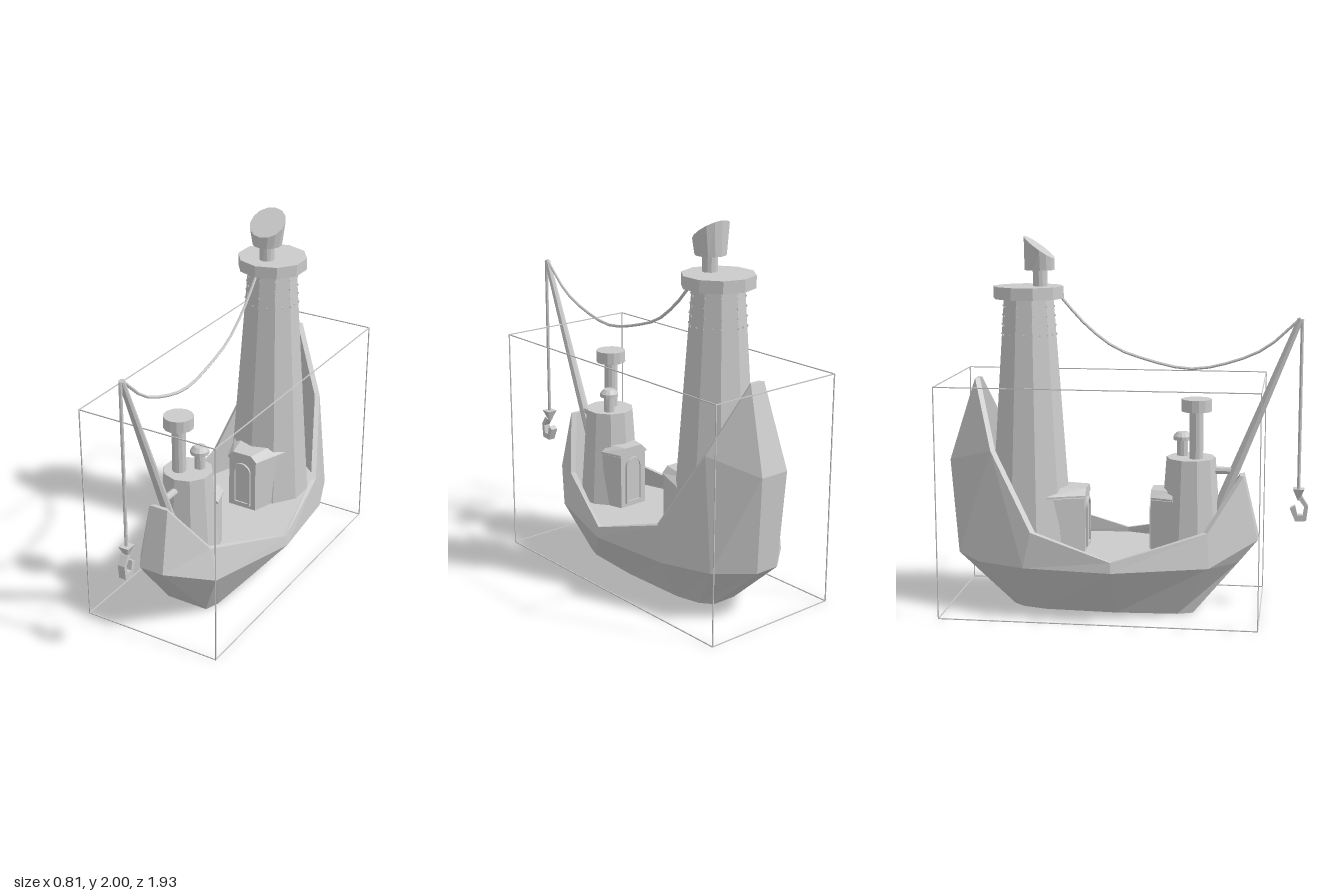
import * as THREE from 'three';
import { mergeGeometries } from 'three/addons/utils/BufferGeometryUtils.js';

const material = new THREE.MeshStandardMaterial({ color: 0xcccccc, flatShading: true });
const openMaterial = material.clone();
openMaterial.side = THREE.DoubleSide;

function add(parent, name, geometry, x = 0, y = 0, z = 0, mat = material) {
  const mesh = new THREE.Mesh(geometry, mat);
  mesh.name = name;
  mesh.position.set(x, y, z);
  parent.add(mesh);
  return mesh;
}

// Upright cylinder standing between two heights
function column(parent, name, rTop, rBottom, y0, y1, x, z, sides = 10) {
  const g = new THREE.CylinderGeometry(rTop, rBottom, y1 - y0, sides);
  return add(parent, name, g, x, (y0 + y1) / 2, z);
}

// Rod between two points
function rod(parent, name, from, to, r0, r1) {
  const a = new THREE.Vector3(...from), b = new THREE.Vector3(...to);
  const d = b.clone().sub(a);
  const mesh = add(parent, name, new THREE.CylinderGeometry(r1, r0, d.length(), 8));
  mesh.position.copy(a).add(b).multiplyScalar(0.5);
  mesh.quaternion.setFromUnitVectors(new THREE.Vector3(0, 1, 0), d.normalize());
  return mesh;
}

const DECK = 0.31;

// Hull with bulwark and deck, as a closed ring of stations
function hullGeometry() {
  // Each station, bow to stern: bottom, chine, knuckle, gunwale
  const half = [
    [[0.12, 0, 0.37], [0.085, 0.28, 0.61], [0.07, 0.4, 0.71], [0.055, 0.74, 0.63]],
    [[0.15, 0, 0.29], [0.24, 0.28, 0.46], [0.24, 0.28, 0.46], [0.2, 0.46, 0.45]],
    [[0.17, 0, -0.04], [0.395, 0.28, -0.04], [0.395, 0.28, -0.04], [0.385, 0.335, -0.04]],
    [[0.155, 0, -0.42], [0.35, 0.28, -0.51], [0.35, 0.28, -0.51], [0.34, 0.47, -0.47]],
    [[0.12, 0, -0.55], [0.25, 0.28, -0.77], [0.23, 0.88, -0.7], [0.23, 0.88, -0.7]],
    [[0.07, 0, -0.61], [0.07, 0.28, -0.92], [0.085, 0.8, -0.955], [0.045, 1.24, -0.82]],
  ].map((s) => {
    const c = s[1], g = s[3];
    const rim = [g[0] - 0.02, g[1], g[2] - 0.022 * Math.sign(g[2] + 0.04)];
    const deckEdge = [c[0] * 0.93, DECK, (c[2] + 0.04) * 0.92 - 0.04];
    return [[0, 0, -0.1], ...s, rim, deckEdge, [0, DECK, -0.1]];
  });
  const mirrored = half.map((s) => s.map(([x, y, z]) => [-x, y, z])).reverse();
  const ring = [...half, ...mirrored];
  const pos = [];
  ring.forEach((s, i) => {
    const t = ring[(i + 1) % ring.length];
    for (let j = 0; j < s.length - 1; j++) {
      pos.push(...s[j], ...t[j], ...t[j + 1], ...s[j], ...t[j + 1], ...s[j + 1]);
    }
  });
  const g = new THREE.BufferGeometry();
  g.setAttribute('position', new THREE.Float32BufferAttribute(pos, 3));
  g.computeVertexNormals();
  return g;
}

// Entrance house with chamfered roof and arched door, facing +z
function entrance(name, depth, spread) {
  const house = new THREE.Group();
  house.name = name;
  const flare = (g) => {
    const p = g.attributes.position;
    for (let i = 0; i < p.count; i++) {
      p.setX(i, p.getX(i) * (1 + spread * Math.max(0, -p.getZ(i)) / depth));
    }
    g.computeVertexNormals();
    return g;
  };
  const block = (w, y0, y1, chamfer, d) => {
    const s = new THREE.Shape([[-w, y0], [w, y0], [w, y1 - chamfer], [w - chamfer, y1],
      [chamfer - w, y1], [-w, y1 - chamfer]].map(([x, y]) => new THREE.Vector2(x, y)));
    const g = new THREE.ExtrudeGeometry(s, { depth: d, bevelEnabled: false });
    g.translate(0, 0, -d);
    return flare(g);
  };
  add(house, 'walls', block(0.085, 0, 0.325, 0.03, depth));
  add(house, 'roof', block(0.092, 0.3, 0.345, 0.035, depth), 0, 0, 0.004);
  // Arched door frame and recessed panel
  const arch = (C, w, h, y0) => {
    const s = new C();
    s.moveTo(-w, y0);
    s.lineTo(w, y0);
    s.lineTo(w, h - w);
    s.absarc(0, h - w, w, 0, Math.PI, false);
    s.lineTo(-w, y0);
    return s;
  };
  const frame = arch(THREE.Shape, 0.055, 0.285, 0.02);
  frame.holes.push(arch(THREE.Path, 0.042, 0.272, 0.035));
  add(house, 'doorFrame', new THREE.ExtrudeGeometry(frame, { depth: 0.012, bevelEnabled: false, curveSegments: 6 }));
  add(house, 'doorPanel', new THREE.ShapeGeometry(arch(THREE.Shape, 0.042, 0.272, 0.035), 6), 0, 0, 0.003);
  return house;
}

export function createModel() {
  const ship = new THREE.Group();
  ship.name = 'ship';
  add(ship, 'hull', hullGeometry(), 0, 0, 0, openMaterial);

  // Tall stern tower
  const TZ = -0.53;
  column(ship, 'sternTower', 0.135, 0.232, DECK - 0.01, 1.67, 0, TZ);
  column(ship, 'towerPlatform', 0.19, 0.19, 1.67, 1.735, 0, TZ);
  column(ship, 'funnelNeck', 0.04, 0.04, 1.735, 1.84, 0, -0.466, 12);

  // Funnel head with a slanted top
  const head = new THREE.CylinderGeometry(0.1, 0.08, 0.1, 14);
  const p = head.attributes.position;
  for (let i = 0; i < p.count; i++) {
    if (p.getY(i) < 0) continue;
    const z = p.getZ(i) * 0.82;
    p.setZ(i, z);
    p.setY(i, 0.07 - z * 0.73);
  }
  head.computeVertexNormals();
  add(ship, 'funnelHead', head, 0, 1.87, -0.47);

  // Rivets along the upper tower: upright rows on the corners, one band around
  const rivets = [];
  const rivet = (angle, y, inset) => {
    const r = (0.135 + (1.67 - y) * 0.0708) * inset;
    const g = new THREE.BoxGeometry(0.008, 0.008, 0.008);
    g.rotateY(angle);
    g.translate(Math.sin(angle) * r, y, Math.cos(angle) * r);
    rivets.push(g);
  };
  for (let i = 0; i < 10; i++) {
    const a = (i * Math.PI) / 5;
    for (const y of [1.48, 1.53, 1.58, 1.63]) rivet(a, y, 1);
    rivet(a + Math.PI / 10, 1.48, Math.cos(Math.PI / 10));
  }
  add(ship, 'rivets', mergeGeometries(rivets), 0, 0, TZ);

  // Bow cabin with its two chimneys
  column(ship, 'bowCabin', 0.132, 0.17, DECK - 0.01, 0.83, 0, 0.345);
  column(ship, 'chimney', 0.037, 0.037, 0.82, 1.09, -0.035, 0.375, 12);
  column(ship, 'chimneyCap', 0.08, 0.08, 1.085, 1.15, -0.035, 0.375, 14);
  column(ship, 'vent', 0.03, 0.03, 0.82, 0.92, 0.042, 0.295, 10);
  column(ship, 'ventCapRim', 0.05, 0.05, 0.915, 0.935, 0.042, 0.295, 12);
  column(ship, 'ventCapTop', 0.03, 0.05, 0.935, 0.957, 0.042, 0.295, 12);

  // Facing entrances
  const sternHouse = entrance('sternEntrance', 0.2, 0.8);
  sternHouse.position.set(0, DECK, -0.22);
  const bowHouse = entrance('bowEntrance', 0.12, 0.4);
  bowHouse.position.set(0, DECK, 0.14);
  bowHouse.rotation.y = Math.PI;
  ship.add(sternHouse, bowHouse);

  // Crane boom, strut, sagging cable and hanging line
  rod(ship, 'boom', [0, 0.53, 0.485], [0, 1.575, 0.91], 0.03, 0.016);
  rod(ship, 'boomStrut', [0, 0.76, 0.42], [0, 0.76, 0.58], 0.02, 0.02);
  const sag = [[0.91, 1.58], [0.73, 1.42], [0.52, 1.335], [0.33, 1.305], [0.09, 1.355],
    [-0.07, 1.415], [-0.23, 1.54], [-0.36, 1.685]].map(([z, y]) => new THREE.Vector3(0, y, z));
  add(ship, 'cable', new THREE.TubeGeometry(new THREE.CatmullRomCurve3(sag), 16, 0.008, 6));
  rod(ship, 'hangingLine', [0, 0.66, 0.92], [0, 1.575, 0.92], 0.009, 0.009);

  // Hook block and flat hook
  const block = new THREE.CylinderGeometry(0.042, 0.006, 0.065, 4);
  block.rotateY(Math.PI / 4);
  add(ship, 'hookBlock', block, 0, 0.64, 0.92);
  const outline = [[0.015, 0.03], [0.047, -0.02], [0.038, -0.1], [-0.02, -0.105], [-0.05, -0.035],
    [-0.022, -0.02], [-0.01, -0.07], [0.02, -0.07], [0.027, -0.025], [-0.006, 0.02]];
  const hook = new THREE.ExtrudeGeometry(new THREE.Shape(outline.map(([z, y]) => new THREE.Vector2(-z, y))),
    { depth: 0.04, bevelEnabled: false });
  hook.translate(0, 0, -0.02);
  hook.rotateY(Math.PI / 2);
  add(ship, 'hook', hook, 0, 0.6, 0.925);

  // Thin box frame around the hull
  const [X, H, Z0, Z1, T] = [0.4, 1.24, -0.957, 0.727, 0.005];
  const bars = [];
  const bar = (w, h, d, x, y, z) => bars.push(new THREE.BoxGeometry(w, h, d).translate(x, y, z));
  for (const s of [-X, X]) {
    for (const y of [T / 2, H]) bar(T, T, Z1 - Z0, s, y, (Z0 + Z1) / 2);
    for (const z of [Z0, Z1]) bar(T, H, T, s, H / 2, z);
  }
  for (const y of [T / 2, H]) for (const z of [Z0, Z1]) bar(2 * X, T, T, 0, y, z);
  add(ship, 'boxFrame', mergeGeometries(bars));

  return ship;
}
